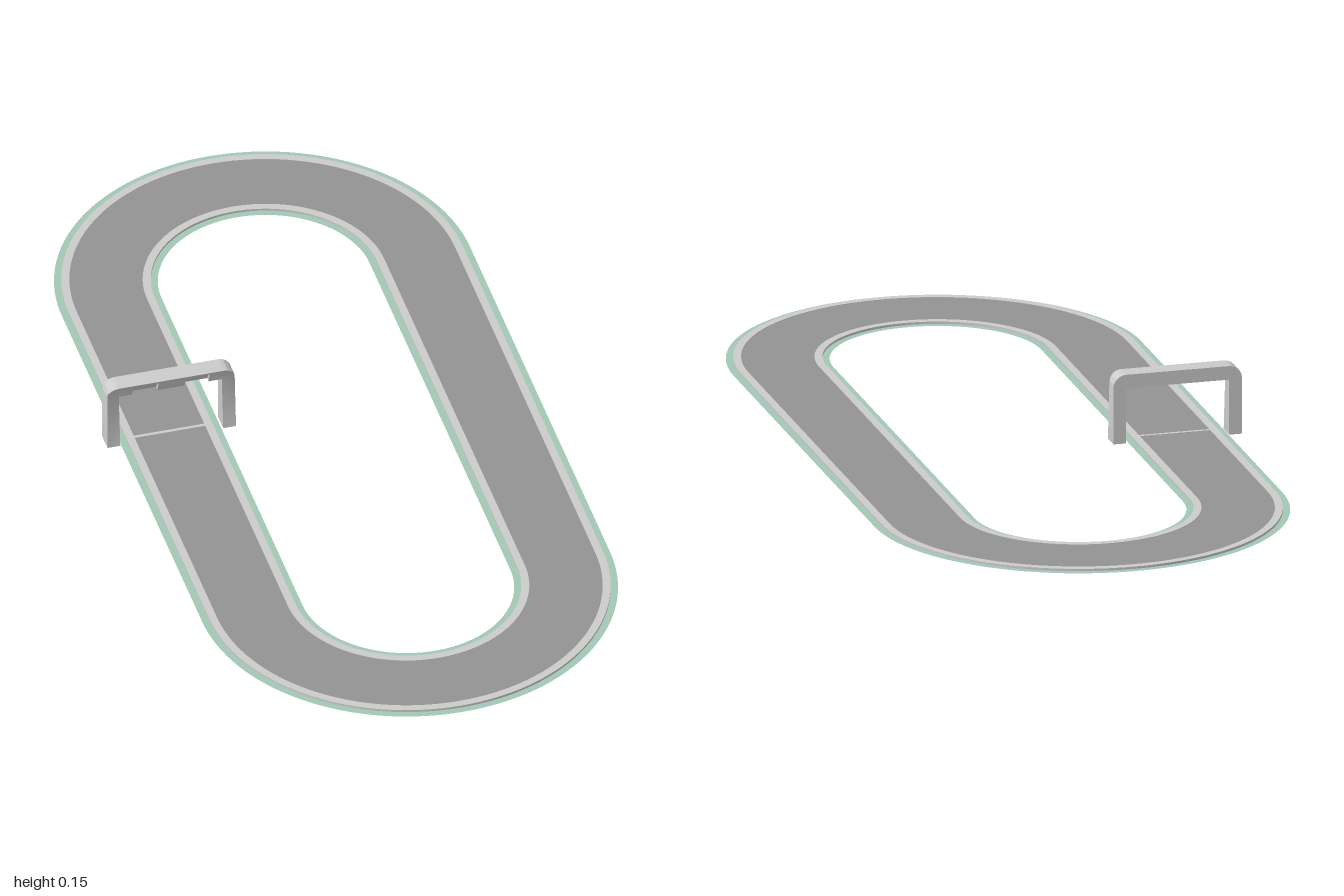
import * as THREE from 'three';
import { toCreasedNormals } from 'three/addons/utils/BufferGeometryUtils.js';

const grey = new THREE.MeshStandardMaterial({ color: 0xcccccc });
const asphalt = new THREE.MeshStandardMaterial({ color: 0x939393 });
const green = new THREE.MeshStandardMaterial({ color: 0xa3c7b5, side: THREE.DoubleSide });

const TRACK_X = 0.0125; // centre line of the oval
const HALF_STRAIGHT = 0.55; // half length of the straights

function add(parent, name, geometry, material) {
  const mesh = new THREE.Mesh(geometry, material);
  mesh.name = name;
  parent.add(mesh);
  return mesh;
}

// Oval outline: two half circles joined by straights
function oval(Type, r) {
  const p = new Type();
  p.absarc(0, HALF_STRAIGHT, r, 0, Math.PI, false);
  p.absarc(0, -HALF_STRAIGHT, r, Math.PI, Math.PI * 2, false);
  p.closePath();
  return p;
}

// Oval band between two radii, a slab or (height 0) a flat sheet
function band(inner, outer, height) {
  const shape = oval(THREE.Shape, outer);
  shape.holes.push(oval(THREE.Path, inner));
  const geo = height
    ? new THREE.ExtrudeGeometry(shape, { depth: height, bevelEnabled: false, curveSegments: 32 })
    : new THREE.ShapeGeometry(shape, 32);
  geo.rotateX(-Math.PI / 2);
  return height ? toCreasedNormals(geo, 0.6) : geo;
}

function buildTrack() {
  const track = new THREE.Group();
  track.name = 'track';
  track.position.x = TRACK_X;
  add(track, 'road', band(0.26, 0.415, 0.005), asphalt);
  add(track, 'innerKerb', band(0.243, 0.26, 0.006), grey);
  add(track, 'outerKerb', band(0.415, 0.432, 0.006), grey);
  add(track, 'innerVerge', band(0.228, 0.243, 0), green).position.y = 0.001;
  add(track, 'outerVerge', band(0.432, 0.4475, 0), green).position.y = 0.001;
  // Painted start line under the gate
  const line = add(track, 'startLine', new THREE.BoxGeometry(0.155, 0.001, 0.008), grey);
  line.position.set(-0.3375, 0.0053, -0.1);
  return track;
}

// Gate dimensions
const LEFT = -0.465, RIGHT = -0.183, LEG = 0.028, TOP = 0.152, BEAM = 0.122, ROUND = 0.028;
const RECESSES = [[-0.408, -0.352], [-0.293, -0.24]];

// Front outline of the gate, optionally with recesses cut up into the beam
function gateShape(withRecesses) {
  const s = new THREE.Shape();
  s.moveTo(LEFT, 0);
  s.lineTo(LEFT + LEG, 0);
  s.lineTo(LEFT + LEG, BEAM);
  if (withRecesses) for (const [a, b] of RECESSES) {
    s.lineTo(a, BEAM);
    s.lineTo(a, 0.147);
    s.lineTo(b, 0.147);
    s.lineTo(b, BEAM);
  }
  s.lineTo(RIGHT - LEG, BEAM);
  s.lineTo(RIGHT - LEG, 0);
  s.lineTo(RIGHT, 0);
  s.lineTo(RIGHT, TOP - ROUND);
  s.absarc(RIGHT - ROUND, TOP - ROUND, ROUND, 0, Math.PI / 2, false);
  s.absarc(LEFT + ROUND, TOP - ROUND, ROUND, Math.PI / 2, Math.PI, false);
  s.closePath();
  return s;
}

// The front face leans back up to the beam, then forward again to the top
function frontZ(y) {
  return y < BEAM
    ? THREE.MathUtils.lerp(-0.085, -0.097, y / BEAM)
    : THREE.MathUtils.lerp(-0.097, -0.086, (y - BEAM) / (TOP - BEAM));
}

function gateLayer(withRecesses, back, front) {
  const geo = new THREE.ExtrudeGeometry(gateShape(withRecesses), { depth: 1, bevelEnabled: false, curveSegments: 8 });
  const pos = geo.attributes.position;
  for (let i = 0; i < pos.count; i++) {
    pos.setZ(i, pos.getZ(i) > 0.5 ? front(pos.getY(i)) : back);
  }
  geo.computeVertexNormals();
  return toCreasedNormals(geo, 0.5);
}

function buildGate() {
  const gate = new THREE.Group();
  gate.name = 'gate';
  add(gate, 'gateBack', gateLayer(false, -0.128, () => -0.109), grey);
  add(gate, 'gateFront', gateLayer(true, -0.109, frontZ), grey);
  // Panels in the recesses, tilted towards the road
  for (const [a, b] of RECESSES) {
    const wedge = new THREE.Shape([
      new THREE.Vector2(0.109, BEAM), new THREE.Vector2(0.109, 0.147), new THREE.Vector2(0.093, 0.147),
    ]);
    const geo = new THREE.ExtrudeGeometry(wedge, { depth: b - a, bevelEnabled: false });
    geo.rotateY(Math.PI / 2);
    add(gate, 'beamPanel', geo, grey).position.x = a;
  }
  return gate;
}

export function createModel() {
  const model = new THREE.Group();
  model.name = 'raceTrack';
  model.add(buildTrack(), buildGate());
  return model;
}
